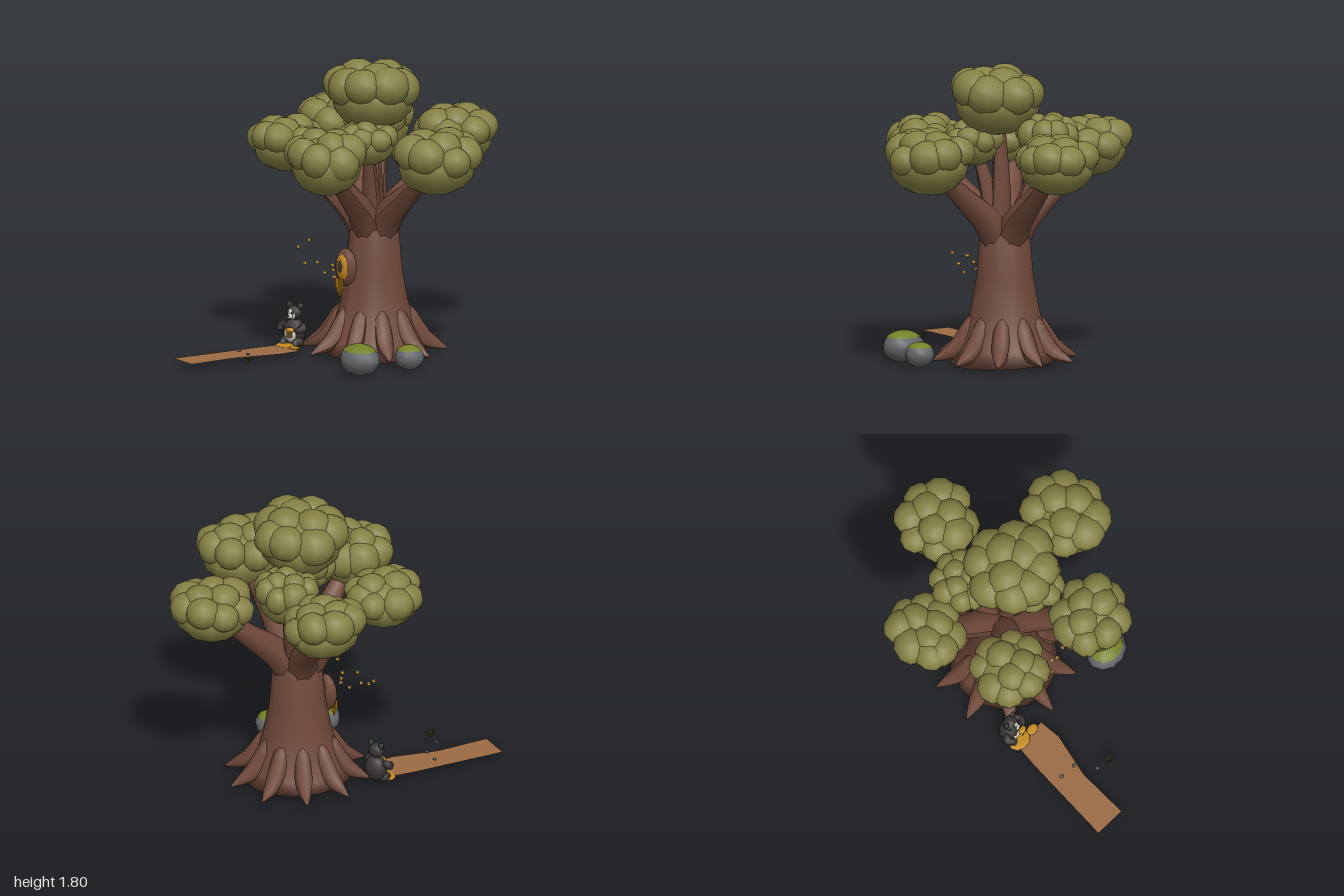
import * as THREE from 'three';

const mat = (name, color, side = THREE.FrontSide) => {
  const m = new THREE.MeshStandardMaterial({ color, side });
  m.name = name;
  return m;
};
const bark = mat('bark', 0x70493a);
const leaf = mat('foliage', 0x858044);
const honey = mat('honey', 0xc58a1d);
const dark = mat('dark fur', 0x3a3533);
const cream = mat('cream fur', 0xd6d2ca);
const stone = mat('stone', 0x636669);
const moss = mat('moss', 0x748026);
const dirt = mat('dirt path', 0x9c6b44, THREE.DoubleSide);
const grass = mat('grass', 0x4a4a26, THREE.DoubleSide);

const V = (a) => new THREE.Vector3(...a);
const ball = new THREE.SphereGeometry(1, 10, 8);

function add(parent, name, geometry, material, pos = [0, 0, 0], scale = [1, 1, 1]) {
  const m = new THREE.Mesh(geometry, material);
  m.name = name;
  m.position.set(...pos);
  m.scale.set(...scale);
  parent.add(m);
  return m;
}
function group(parent, name, pos = [0, 0, 0]) {
  const g = new THREE.Group();
  g.name = name;
  g.position.set(...pos);
  parent.add(g);
  return g;
}
function rng(seed) {
  return () => (seed = (seed * 16807) % 2147483647) / 2147483647;
}

// Tube along a curve whose radius follows a list of values
function taperTube(points, radii, sides = 7, n = 10) {
  const curve = new THREE.CatmullRomCurve3(points.map(V));
  const geo = new THREE.TubeGeometry(curve, n, 1, sides);
  const pos = geo.attributes.position, v = new THREE.Vector3();
  for (let i = 0; i <= n; i++) {
    const c = curve.getPointAt(i / n);
    const f = (i / n) * (radii.length - 1), k = Math.min(Math.floor(f), radii.length - 2);
    const r = THREE.MathUtils.lerp(radii[k], radii[k + 1], f - k);
    for (let j = 0; j <= sides; j++) {
      const id = i * (sides + 1) + j;
      v.fromBufferAttribute(pos, id).sub(c).multiplyScalar(r).add(c);
      pos.setXYZ(id, v.x, v.y, v.z);
    }
  }
  geo.computeVertexNormals();
  return geo;
}

// Leaf cluster: smooth dome below, ring of puffs above
function canopy(parent, [x, y, z], rx, ry, rz, seed) {
  const g = group(parent, 'leafCluster', [x, y, z]);
  const rand = rng(seed * 7919 + 13);
  add(g, 'leafBase', ball, leaf, [0, -ry * 0.1, 0], [rx * 0.85, ry * 0.9, rz * 0.85]);
  for (let i = 0; i < 8; i++) {
    const a = (i + rand() * 0.4) * Math.PI / 4, s = 0.36 + rand() * 0.09;
    add(g, 'leafPuff', ball, leaf,
      [Math.cos(a) * rx * (1 - s), ry * (0.08 + rand() * 0.3), Math.sin(a) * rz * (1 - s)],
      [rx * s, ry * s * 1.3, rz * s]).rotation.y = rand() * 3;
  }
  for (let i = 0; i < 3; i++) {
    const a = i * 2.1 + rand();
    add(g, 'leafTopPuff', ball, leaf, [Math.cos(a) * rx * 0.3, ry * 0.5, Math.sin(a) * rz * 0.3],
      [rx * 0.4, ry * 0.48, rz * 0.4]);
  }
}

function buildTree(root) {
  const tree = group(root, 'tree');
  const cx = -0.055, cz = -0.165;
  // Flared trunk with a slightly sloping foot
  const profile = [[0, 0.03], [0.325, 0.03], [0.285, 0.11], [0.24, 0.22], [0.205, 0.34], [0.17, 0.54],
    [0.15, 0.78], [0.1, 0.86], [0, 0.88]].map(([r, y]) => new THREE.Vector2(r, y));
  const trunk = new THREE.LatheGeometry(profile, 14);
  const p = trunk.attributes.position;
  for (let i = 0; i < p.count; i++) if (p.getY(i) < 0.1) p.setY(i, p.getY(i) - p.getX(i) * 0.06);
  trunk.computeVertexNormals();
  add(tree, 'trunk', trunk, bark, [cx, 0, cz]);

  // Tusk-shaped roots
  for (let i = 0; i < 10; i++) {
    const a = -0.78 + i * Math.PI / 5, c = Math.cos(a), s = Math.sin(a);
    const at = (r, y) => [cx + c * r, y, cz + s * r];
    add(tree, 'root', taperTube([at(0.17, 0.34), at(0.22, 0.23), at(0.3, 0.11), at(0.45, 0.04)],
      [0, 0.042, 0.052, 0.055, 0.05, 0.03, 0]), bark);
  }

  // Branches and their leaf clusters: centre, then radii
  const clusters = [
    [[0.02, 1.28, -0.74], 0.265, 0.18, 0.26],
    [[0.53, 1.28, -0.16], 0.27, 0.2, 0.29],
    [[-0.58, 1.3, -0.34], 0.235, 0.18, 0.27],
    [[-0.44, 1.28, 0.19], 0.25, 0.17, 0.245],
    [[0.12, 1.28, 0.36], 0.27, 0.2, 0.24],
    [[-0.22, 1.36, -0.36], 0.2, 0.17, 0.2],
    [[0.06, 1.34, -0.02], 0.2, 0.14, 0.18],
    [[-0.03, 1.6, -0.13], 0.31, 0.21, 0.29]];
  clusters.forEach(([c, rx, ry, rz], i) => {
    canopy(tree, c, rx, ry, rz, i + 1);
    const dx = c[0] - cx, dz = c[2] - cz, d = Math.hypot(dx, dz) || 1;
    const thick = i < 5 ? 1 : 0.7, o = Math.min(d, 0.07) / d;
    add(tree, 'branch', taperTube([
      [cx + dx * o * 0.5, 0.68, cz + dz * o * 0.5],
      [cx + dx * (o * 0.6 + 0.12), 0.85, cz + dz * (o * 0.6 + 0.12)],
      [cx + dx * 0.55, 1.04, cz + dz * 0.55],
      [cx + dx * 0.9, c[1] - 0.06, cz + dz * 0.9]],
      [0.08, 0.095, 0.085, 0.07, 0.058, 0.05].map((r) => r * thick), 8), bark);
  });
}

// Tree hollow with dripping honey
function buildHive(root) {
  const g = group(root, 'hive', [-0.1, 0.55, 0.015]);
  add(g, 'hollowRim', ball, bark, [0, 0, 0], [0.087, 0.116, 0.045]);
  add(g, 'honeyPatch', ball, honey, [0, 0, 0.022], [0.058, 0.084, 0.03]);
  add(g, 'hiveOpening', ball, dark, [0, 0.005, 0.042], [0.027, 0.042, 0.013]);
  [-0.033, -0.018, -0.004, 0.012, 0.028].forEach((x, i) => {
    const len = [0.05, 0.075, 0.1, 0.085, 0.055][i];
    add(g, 'honeyDrip', new THREE.CapsuleGeometry(0.006, len, 3, 6), honey, [x, -0.07 - len / 2, 0.05]);
  });
}

function buildBees(root) {
  const spots = [[-0.34, 0.685, 0.1], [-0.325, 0.66, 0.2], [0.05, 0.645, 0.2], [-0.1, 0.61, 0.24],
    [-0.22, 0.585, 0.235], [-0.07, 0.585, 0.145], [0, 0.575, 0.2], [-0.02, 0.525, 0.175], [-0.115, 0.535, 0.17]];
  spots.forEach((s, i) => {
    const bee = group(root, 'bee', s);
    bee.rotation.y = i * 1.3;
    add(bee, 'beeBody', ball, honey, [0, 0, 0], [0.01, 0.01, 0.014]);
    add(bee, 'beeStripe', ball, dark, [0, 0, 0], [0.0107, 0.0107, 0.004]);
    for (const k of [-1, 1]) add(bee, 'beeWing', ball, cream, [k * 0.008, 0.01, 0], [0.007, 0.002, 0.004]);
  });
}

function buildBear(root) {
  const b = group(root, 'bear', [-0.405, 0.04, 0.16]);
  b.rotation.y = 0.25;
  add(b, 'body', ball, dark, [0, 0.085, 0], [0.071, 0.084, 0.064]);
  add(b, 'belly', ball, cream, [0, 0.078, 0.022], [0.05, 0.06, 0.048]);
  add(b, 'head', ball, dark, [0, 0.2, 0.005], [0.05, 0.046, 0.045]);
  add(b, 'face', ball, cream, [0, 0.197, 0.02], [0.036, 0.037, 0.034]);
  add(b, 'muzzle', ball, cream, [0, 0.187, 0.05], [0.02, 0.016, 0.02]);
  add(b, 'nose', ball, dark, [0, 0.193, 0.068], [0.008, 0.006, 0.006]);
  for (const s of [-1, 1]) {
    add(b, 'ear', ball, dark, [s * 0.04, 0.242, 0], [0.02, 0.021, 0.012]);
    add(b, 'eyePatch', ball, dark, [s * 0.017, 0.207, 0.045], [0.009, 0.011, 0.009]);
    add(b, 'leg', ball, dark, [s * 0.045, 0.03, 0.025], [0.03, 0.03, 0.04]);
    add(b, 'foot', ball, stone, [s * 0.045, 0.025, 0.062], [0.018, 0.018, 0.006]);
    add(b, 'arm', taperTube([[s * 0.05, 0.145, 0], [s * 0.082, 0.11, 0.03], [s * 0.045, 0.105, 0.075]],
      [0, 0.022, 0.025, 0.022, 0.02, 0]), dark);
  }
  add(b, 'honeyPot', ball, honey, [0.02, 0.108, 0.075], [0.03, 0.016, 0.02]);
  for (const x of [0.005, 0.02, 0.035])
    add(b, 'potDrip', new THREE.CapsuleGeometry(0.005, 0.035, 3, 6), honey, [x, 0.085, 0.085]);
  // Spilled honey
  add(root, 'honeyPuddle', ball, honey, [-0.4, 0.05, 0.23], [0.075, 0.008, 0.06]);
  add(root, 'honeyPuddleSmall', ball, honey, [-0.3, 0.055, 0.25], [0.04, 0.006, 0.03]);
}

function buildRocks(root) {
  // Boulders with moss caps
  for (const [x, y, z, rx, ry, rz] of [[0.355, 0.102, 0.29, 0.135, 0.095, 0.11], [0.468, 0.095, 0, 0.088, 0.075, 0.09]]) {
    const g = group(root, 'rock', [x, y, z]);
    add(g, 'boulder', new THREE.SphereGeometry(1, 11, 8), stone, [0, 0, 0], [rx, ry, rz]);
    add(g, 'mossCap', new THREE.SphereGeometry(1.03, 11, 4, 0, Math.PI * 2, 0, 0.93), moss, [0, 0, 0], [rx, ry, rz]);
  }
}

function buildGround(root) {
  // Bent path strip, drawn in x and -z
  const outline = [[-0.565, -0.97], [-0.37, -0.99], [-0.33, -0.67], [-0.235, -0.4], [-0.23, -0.26],
    [-0.44, -0.26], [-0.47, -0.4]].map((q) => new THREE.Vector2(...q));
  add(root, 'path', new THREE.ShapeGeometry(new THREE.Shape(outline)), dirt, [0, 0.05, 0]).rotation.x = -Math.PI / 2;
  for (const [x, z] of [[-0.425, 0.575], [-0.325, 0.59], [-0.25, 0.71]])
    add(root, 'pebble', ball, stone, [x, 0.063, z], [0.013, 0.006, 0.011]);
  // Grass tuft of bent-out blades
  const tuft = group(root, 'grassTuft', [-0.165, 0.055, 0.73]);
  for (let i = 0; i < 9; i++) {
    const a = i * 2.4, r = 0.025 + (i % 3) * 0.012, c = Math.cos(a), s = Math.sin(a);
    add(tuft, 'blade', taperTube([[0, 0, 0], [c * r * 0.5, 0.025, s * r * 0.5], [c * r, 0.045 - (i % 3) * 0.01, s * r]],
      [0.006, 0.005, 0], 4, 4), grass);
  }
}

export function createModel() {
  const model = new THREE.Group();
  model.name = 'honeyTree';
  buildTree(model);
  buildHive(model);
  buildBees(model);
  buildBear(model);
  buildRocks(model);
  buildGround(model);
  return model;
}
